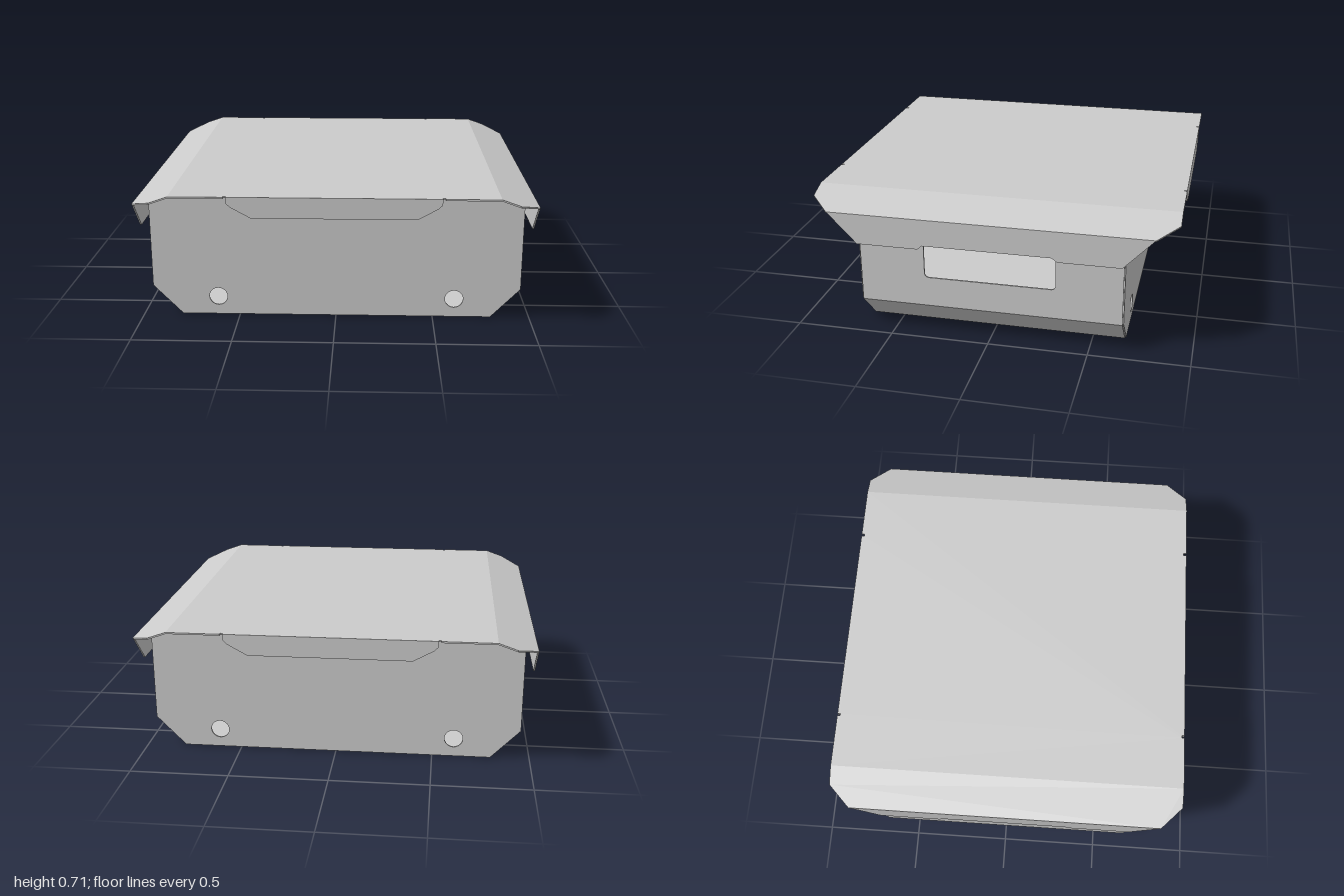
import * as THREE from 'three';

const T = 0.008; // sheet thickness
const material = new THREE.MeshStandardMaterial({ color: 0xcccccc, side: THREE.DoubleSide });

const polygon = (pts) => new THREE.Shape(pts.map(([x, y]) => new THREE.Vector2(x, y)));
// Closed outline from the +u half, listed bottom to top
const mirrored = (half) => polygon([...half, ...half.map(([u, v]) => [-u, v]).reverse()]);

// Sheet whose outer face lies in the plane (origin, u, v), thickness going inwards
function sheet(name, shape, origin, u, v) {
  const geometry = new THREE.ExtrudeGeometry(shape, { depth: T, bevelEnabled: false, curveSegments: 10 });
  geometry.translate(0, 0, -T);
  const basis = new THREE.Matrix4().makeBasis(u, v, new THREE.Vector3().crossVectors(u, v));
  geometry.applyMatrix4(basis.setPosition(...origin));
  const mesh = new THREE.Mesh(geometry, material);
  mesh.name = name;
  return mesh;
}

// Sheet running along z, rising from a to b in the xy plane
function strip(name, shape, a, b) {
  const v = new THREE.Vector3(b[0] - a[0], b[1] - a[1], 0).normalize();
  return sheet(name, shape, [a[0], a[1], 0], new THREE.Vector3(0, 0, -1), v);
}

const facing = (name, shape, z) =>
  sheet(name, shape, [0, 0, z], new THREE.Vector3(1, 0, 0), new THREE.Vector3(0, 1, 0));

function roundedSlot(w, y0, y1, r) {
  const p = new THREE.Path();
  p.moveTo(-w + r, y0);
  p.lineTo(w - r, y0).quadraticCurveTo(w, y0, w, y0 + r);
  p.lineTo(w, y1 - r).quadraticCurveTo(w, y1, w - r, y1);
  p.lineTo(-w + r, y1).quadraticCurveTo(-w, y1, -w, y1 - r);
  p.lineTo(-w, y0 + r).quadraticCurveTo(-w, y0, -w + r, y0);
  return p;
}

export function createModel() {
  const model = new THREE.Group();
  const body = new THREE.Group();
  body.name = 'body';
  const lid = new THREE.Group();
  lid.name = 'lid';
  model.add(body, lid);

  const D = 0.66; // half depth of the body wrapper
  const W = 0.91; // half depth of the lid

  // Floor
  body.add(strip('floor', mirrored([[D, -0.8], [D, 0.8]]), [0, 0], [1, 0]));

  // Flat middle of the lid, with small relief cuts beside the end flaps
  const cut = (x) => [[W, x - 0.006], [W - 0.015, x - 0.006], [W - 0.015, x + 0.006], [W, x + 0.006]];
  lid.add(strip('lidTop',
    mirrored([[W, -0.8], ...cut(-0.526), ...cut(0.526), [W, 0.8]]), [0, 0.71], [-1, 0.71]));

  // Everything else appears twice, turned half a circle
  for (const turn of [0, Math.PI]) {
    const bodyHalf = new THREE.Group();
    const lidHalf = new THREE.Group();
    bodyHalf.rotation.y = lidHalf.rotation.y = turn;
    bodyHalf.name = 'bodyHalf';
    lidHalf.name = 'lidHalf';
    body.add(bodyHalf);
    lid.add(lidHalf);

    // Lower bevel and side wall with handle slot
    const a = [0.8, 0], b = [0.95, 0.155];
    const len = Math.hypot(b[0] - a[0], b[1] - a[1]);
    bodyHalf.add(strip('lowerBevel', mirrored([[D, 0], [D, len]]), a, b));
    const side = mirrored([[D, 0.155], [D, 0.63]]);
    side.holes.push(roundedSlot(0.33, 0.31, 0.49, 0.025));
    bodyHalf.add(strip('sideWall', side, [0.95, 0], [0.95, 1]));

    // End wall with two round holes and an inward top flange
    const end = mirrored([[0.797, 0.006], [0.943, 0.158], [0.943, 0.635], [0.81, 0.685], [0.81, 0.697]]);
    for (const x of [-0.61, 0.61]) {
      end.holes.push(new THREE.Path().absarc(x, 0.1, 0.047, 0, Math.PI * 2, true));
    }
    bodyHalf.add(facing('endWall', end, D + 0.006));
    const flange = new THREE.Mesh(new THREE.BoxGeometry(1.6, T, 0.06), material);
    flange.name = 'topFlange';
    flange.position.set(0, 0.697 - T / 2, D - 0.03);
    bodyHalf.add(flange);

    // Lid slope with clipped corners
    const low = [1, 0.64], high = [0.8, 0.71];
    const slope = Math.hypot(0.2, 0.07);
    lidHalf.add(strip('lidSlope',
      mirrored([[0.805, 0], [W, slope * 0.53], [W, slope]]), low, high));

    // Hanging side flap, notched above the handle slot
    lidHalf.add(strip('sideFlap',
      mirrored([[0.32, 0.503], [0.345, 0.483], [0.655, 0.483], [0.805, 0.64]]), [1, 0], [1, 1]));

    // Hanging end flap
    lidHalf.add(facing('endFlap',
      mirrored([[0.4, 0.605], [0.5, 0.66], [0.52, 0.68], [0.52, 0.707]]), W));
  }
  return model;
}
